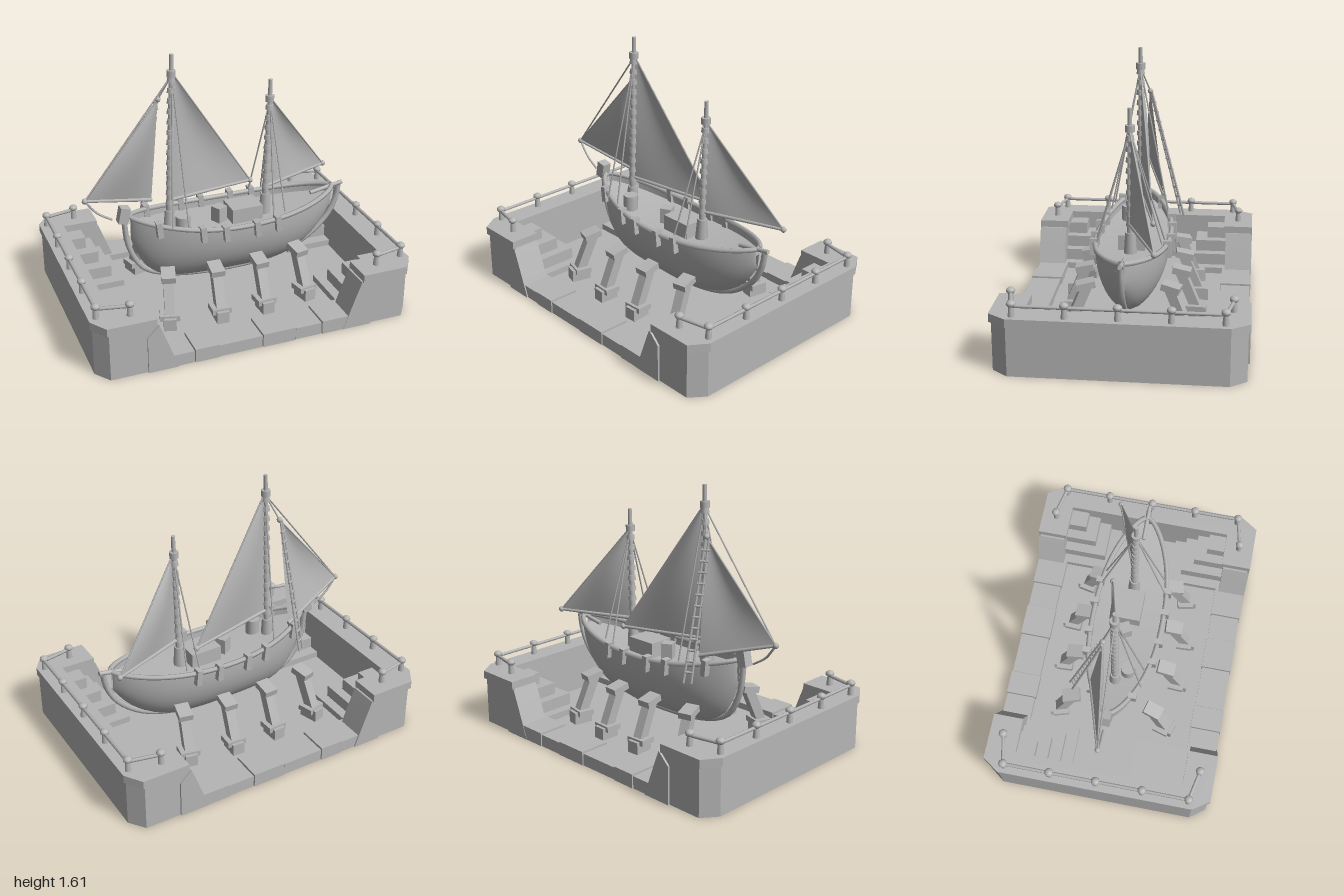
import * as THREE from 'three';
import { ParametricGeometry } from 'three/addons/geometries/ParametricGeometry.js';

export function createModel() {
  const root = new THREE.Group();
  root.name = 'dryDockWithShip';
  const grey = new THREE.MeshStandardMaterial({ color: 0xb5b5b5, side: THREE.DoubleSide });
  grey.name = 'stone grey';
  const V = (x, y, z) => new THREE.Vector3(x, y, z);

  function add(name, geo, parent = root) {
    const m = new THREE.Mesh(geo, grey);
    m.name = name;
    parent.add(m);
    return m;
  }
  function box(name, w, h, d, x, y, z, parent = root) {
    const m = add(name, new THREE.BoxGeometry(w, h, d), parent);
    m.position.set(x, y, z);
    return m;
  }
  // Straight tapered rod between two points
  function rod(name, a, b, r0, r1 = r0, sides = 8, parent = root) {
    const m = add(name, new THREE.CylinderGeometry(r1, r0, a.distanceTo(b), sides), parent);
    m.position.copy(a).add(b).multiplyScalar(0.5);
    m.quaternion.setFromUnitVectors(V(0, 1, 0), b.clone().sub(a).normalize());
    return m;
  }
  function tube(name, pts, r, seg = 40) {
    return add(name, new THREE.TubeGeometry(new THREE.CatmullRomCurve3(pts), seg, r, 6));
  }
  // Flat plan outline raised between two heights
  function slab(name, pts, y0, y1, parent) {
    const shape = new THREE.Shape(pts.map(([x, z]) => new THREE.Vector2(x, -z)));
    const g = new THREE.ExtrudeGeometry(shape, { depth: y1 - y0, bevelEnabled: false });
    g.rotateX(-Math.PI / 2).translate(0, y0, 0);
    return add(name, g, parent);
  }

  // ---- Dock floor and low kerb stones
  box('dockFloor', 1.76, 0.03, 1.12, 0, 0.02, 0);
  const joints = [-0.58, -0.42, -0.27, 0, 0.21, 0.38, 0.58];
  for (const side of [-1, 1]) {
    for (let i = 0; i < joints.length - 1; i++) {
      const w = joints[i + 1] - joints[i];
      const h = 0.075 + 0.01 * (i % 2);
      box('kerbStone', w - 0.004, h, 0.185 + 0.01 * (i % 2),
        (joints[i] + joints[i + 1]) / 2, h / 2, side * 0.615);
    }
  }

  // ---- End platforms: U-shaped quay, rim, steps, aprons and railing
  const outline = (o, i) => [
    [1 - o, 0.61], [0.93 - o, 0.715 - o], [0.63 - i, 0.715 - o], [0.63 - i, 0.54 + i], [0.87 + i, 0.54 + i],
    [0.87 + i, -0.54 - i], [0.63 - i, -0.54 - i], [0.63 - i, -0.715 + o], [0.93 - o, -0.715 + o], [1 - o, -0.61],
  ];
  for (const side of [-1, 1]) {
    const end = new THREE.Group();
    end.name = side > 0 ? 'leftPlatform' : 'rightPlatform';
    if (side < 0) end.rotation.y = Math.PI;
    root.add(end);
    slab('quayWall', outline(0.012, -0.0), 0, 0.3, end);
    slab('quayRim', outline(0, -0.012), 0.295, 0.345, end);
    for (const s of [-1, 1]) {
      // Corner steps falling towards the middle of the dock
      for (let k = 0; k < 4; k++) {
        const w = 0.3 - 0.06 * k, d = 0.36 - 0.075 * k;
        box('cornerStep', w, 0.075 * (k + 1), d, 0.87 - w / 2, 0.0375 * (k + 1), s * (0.55 - d / 2), end);
      }
      // Curved apron at the foot of the arm
      const p = new THREE.Shape();
      p.moveTo(0.7, 0);
      p.lineTo(0.7, 0.23);
      p.lineTo(0.63, 0.3);
      p.quadraticCurveTo(0.58, 0.17, 0.52, 0);
      const g = new THREE.ExtrudeGeometry(p, { depth: 0.175, bevelEnabled: false, curveSegments: 6 });
      g.translate(0, 0, s > 0 ? 0.54 : -0.715);
      add('apron', g, end);
    }
    // Railing along the outer edge and round the corners
    const posts = [[0.77, -0.62], [0.955, -0.58], [0.955, -0.29], [0.955, 0],
      [0.955, 0.29], [0.955, 0.58], [0.77, 0.62]];
    posts.forEach(([x, z], i) => {
      rod('railPost', V(x, 0.34, z), V(x, 0.42, z), 0.02, 0.013, 8, end);
      const cap = add('railCap', new THREE.SphereGeometry(0.027, 10, 6), end);
      cap.position.set(x, 0.418, z);
      cap.scale.y = 0.75;
      if (i) rod('handRail', V(posts[i - 1][0], 0.405, posts[i - 1][1]), V(x, 0.405, z), 0.011, 0.011, 6, end);
    });
  }

  // ---- Shoring props under the ship
  for (const s of [-1, 1]) {
    for (const [fx, hx, fz] of [[-0.45, -0.395, 0.35], [-0.14, -0.13, 0.385], [0.15, 0.14, 0.385], [0.44, 0.4, 0.34]]) {
      const prop = new THREE.Group();
      prop.name = 'shoringProp';
      prop.position.set(fx, 0, s * fz);
      prop.rotation.y = s * (hx - fx) * -5;
      root.add(prop);
      box('propFoot', 0.075, 0.08, 0.12, 0, 0.07, 0, prop);
      box('propPad', 0.12, 0.035, 0.1, 0, 0.105, -s * 0.01, prop);
      const leg = box('propLeg', 0.06, 0.24, 0.06, 0, 0.215, -s * 0.05, prop);
      leg.rotation.x = -s * 0.4;
      const head = box('propHead', 0.085, 0.04, 0.11, 0, 0.33, -s * 0.09, prop);
      head.rotation.x = s * 0.2;
    }
  }

  // ---- Hull, from sheer, keel and beam curves along its length (t = -1..1)
  const hx = t => 0.095 + 0.665 * t;
  const sheer = t => 0.535 + (t < 0 ? 0.085 : 0.06) * t * t;
  const keelY = t => 0.155 + 0.31 * Math.pow(Math.abs(t), t < 0 ? 7 : 3.6);
  const beam = t => 0.012 + 0.208 * Math.pow(Math.max(0, 1 - Math.pow(Math.abs(t), 2.3)), 0.75);
  const hull = (u, v, p) => {
    const t = Math.sin((u - 0.5) * Math.PI);
    const a = 2 * v - 1, s = Math.abs(a);
    const z = Math.sign(a) * beam(t) * Math.pow(1 - Math.pow(1 - s, 2.3), 0.62);
    p.set(hx(t), keelY(t) + (sheer(t) - keelY(t)) * s, z);
  };
  add('hull', new ParametricGeometry(hull, 36, 24));
  add('deck', new ParametricGeometry((u, v, p) => {
    const t = 1.96 * u - 0.98;
    p.set(hx(t), sheer(t) - 0.05, (1 - 2 * v) * beam(t) * 0.97);
  }, 30, 2));
  for (const s of [-1, 1]) {
    const rail = [];
    for (let i = 0; i <= 16; i++) {
      const t = Math.sin((i / 16 - 0.5) * Math.PI);
      rail.push(V(hx(t), sheer(t), s * beam(t)));
    }
    tube('gunwale', rail, 0.016, 48);
    // Brackets hung over the gunwale
    for (const x of [-0.43, -0.18, -0.04, 0.16, 0.3]) {
      const t = (x - 0.095) / 0.665;
      const b = box('gunwaleBracket', 0.035, 0.1, 0.05, x, sheer(t) - 0.02, s * (beam(t) + 0.008));
      b.rotation.z = 0.1;
    }
  }
  tube('keel', [V(-0.61, 0.62, 0), V(-0.585, 0.42, 0), V(-0.5, 0.26, 0), V(-0.34, 0.185, 0), V(0, 0.145, 0),
    V(0.35, 0.165, 0), V(0.58, 0.245, 0), V(0.74, 0.38, 0), V(0.8, 0.5, 0), V(0.815, 0.59, 0)], 0.018);
  box('stemBlock', 0.06, 0.1, 0.06, -0.61, 0.64, 0).rotation.z = -0.2;
  rod('sternRail', V(0.62, 0.565, 0), V(0.84, 0.605, 0), 0.013);

  // ---- Deck fittings
  box('deckHouse', 0.2, 0.1, 0.16, 0.16, 0.53, 0);
  box('hatch', 0.07, 0.11, 0.07, 0, 0.53, 0).rotation.y = 0.5;
  rod('barrel', V(-0.26, 0.48, 0.07), V(-0.26, 0.6, 0.07), 0.045, 0.045, 10);

  // ---- Masts with hoops and caps
  function mast(name, base, top, capY) {
    rod(name, base, top, 0.022, 0.012, 10);
    const at = y => base.clone().lerp(top, (y - base.y) / (top.y - base.y));
    for (let y = 0.66; y < capY - 0.05; y += 0.065) rod('mastHoop', at(y), at(y + 0.03), 0.026, 0.022);
    rod('mastCap', at(capY - 0.03), at(capY + 0.01), 0.028, 0.028);
    rod('mastFoot', base, at(0.62), 0.04, 0.03);
  }
  mast('mainMast', V(-0.325, 0.48, 0), V(-0.29, 1.605, 0), 1.5);
  mast('aftMast', V(0.305, 0.48, 0), V(0.33, 1.37, 0), 1.26);

  // ---- Sails: billowed triangles from head, tack and clew
  function sail(name, head, tack, clew, belly) {
    add(name, new ParametricGeometry((u, v, p) => {
      p.copy(tack).lerp(clew, u).lerp(head, v);
      p.z += belly * Math.sin(Math.PI * u) * Math.sin(Math.PI * v);
    }, 14, 14));
  }
  const bow = V(-0.84, 0.77, 0), jibTack = V(-0.39, 0.635, -0.14), jibHead = V(-0.36, 1.32, -0.055);
  const mainClew = V(0.26, 0.66, -0.13), aftClew = V(0.79, 0.665, -0.18);
  sail('mainSail', V(-0.28, 1.48, 0), V(-0.31, 0.685, 0), mainClew, -0.03);
  sail('aftSail', V(0.34, 1.24, 0), V(0.33, 0.67, 0), aftClew, -0.03);
  sail('jibSail', jibHead, bow, jibTack, 0.03);

  // ---- Spars
  rod('mainBoom', V(-0.32, 0.685, 0), mainClew, 0.012, 0.009);
  rod('aftBoom', V(0.32, 0.67, 0), aftClew, 0.012, 0.009);
  rod('jibBoom', jibTack, bow, 0.012, 0.009);
  for (const p of [bow, mainClew, aftClew, jibHead]) {
    add('sparKnob', new THREE.SphereGeometry(0.018, 8, 6)).position.copy(p);
  }
  tube('bowStay', [bow, V(-0.77, 0.68, 0), V(-0.68, 0.62, 0)], 0.007, 10);

  // ---- Rigging and the rope ladder
  const ropes = [
    [V(-0.29, 1.48, 0), bow], [V(-0.29, 1.48, 0), jibHead], [V(-0.28, 1.48, 0), mainClew], [V(0.34, 1.24, 0), aftClew],
    [jibHead, bow],
    [V(-0.29, 1.48, 0), V(-0.36, 0.58, 0.17)], [V(-0.29, 1.48, 0), V(-0.26, 0.57, 0.18)],
    [V(-0.29, 1.48, 0), V(-0.26, 0.57, -0.18)],
    [V(0.33, 1.24, 0), V(0.28, 0.57, 0.2)], [V(0.33, 1.24, 0), V(0.36, 0.57, 0.19)],
    [V(0.33, 1.24, 0), V(0.28, 0.57, -0.2)], [V(0.33, 1.24, 0), V(0.36, 0.57, -0.19)],
  ];
  for (const [a, b] of ropes) rod('rope', a, b, 0.005, 0.005, 5);
  const l0 = V(-0.37, 1.31, -0.06), l1 = V(-0.41, 0.5, -0.26), half = V(0.02, 0, -0.012);
  for (const k of [-1, 1]) {
    const o = half.clone().multiplyScalar(k);
    rod('ladderRope', l0.clone().addScaledVector(o, 0.4), l1.clone().add(o), 0.007, 0.007, 6);
  }
  for (let i = 1; i < 13; i++) {
    const c = l0.clone().lerp(l1, i / 13);
    rod('ladderRung', c.clone().add(half), c.clone().sub(half), 0.008, 0.008, 6);
  }
  return root;
}
